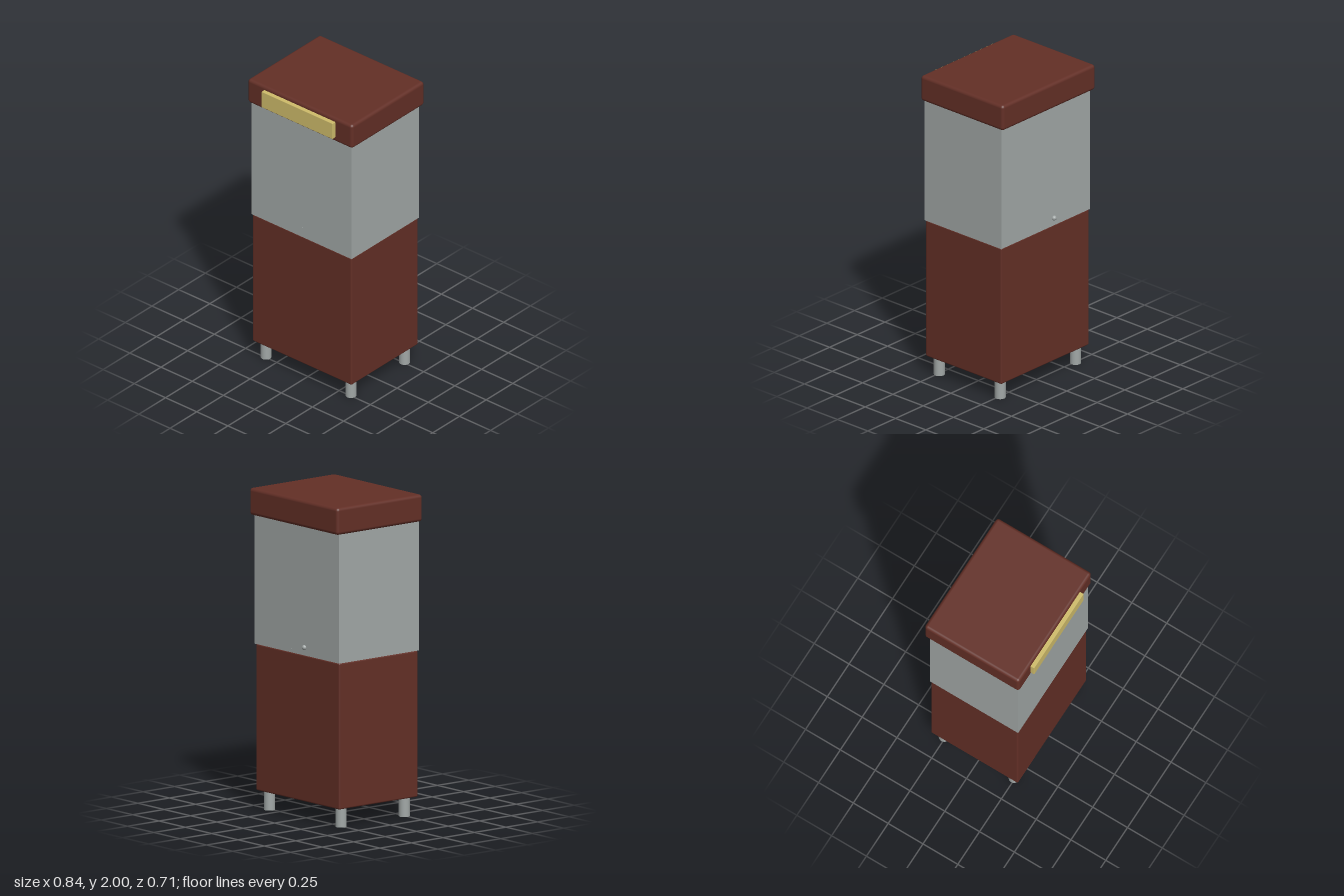
import * as THREE from 'three';
import { RoundedBoxGeometry } from 'three/addons/geometries/RoundedBoxGeometry.js';

const material = (name, color) => {
  const m = new THREE.MeshStandardMaterial({ color });
  m.name = name;
  return m;
};

export function createModel() {
  const wood = material('reddish brown wood', 0x632f26);
  const grey = material('grey', 0xa1a7a6);
  const brass = material('pale brass', 0xcfbc6a);
  const group = new THREE.Group();
  group.name = 'tankOnCabinet';

  const add = (name, geometry, mat, x, y, z) => {
    const mesh = new THREE.Mesh(geometry, mat);
    mesh.name = name;
    mesh.position.set(x, y, z);
    group.add(mesh);
    return mesh;
  };

  // cabinet, tank and lid, stacked
  add('cabinet', new RoundedBoxGeometry(0.794, 0.91, 0.625, 2, 0.01), wood, -0.002, 0.575, -0.008);
  add('tank', new THREE.BoxGeometry(0.802, 0.815, 0.634), grey, -0.001, 1.4375, -0.008);
  add('lid', new RoundedBoxGeometry(0.84, 0.168, 0.68, 3, 0.02), wood, -0.001, 1.916, -0.014);

  // plate on the front of the lid
  add('frontPlate', new RoundedBoxGeometry(0.57, 0.113, 0.05, 1, 0.004), brass, -0.001, 1.919, 0.327);

  // four round feet
  for (const x of [-0.342, 0.338]) {
    for (const z of [0.243, -0.259]) {
      add('foot', new THREE.CylinderGeometry(0.034, 0.034, 0.13, 24), grey, x, 0.065, z);
    }
  }

  // small valve knob and studs low on the tank
  add('valveKnob', new THREE.SphereGeometry(0.016, 16, 12), grey, -0.075, 1.08, -0.326);
  const stud = new THREE.CylinderGeometry(0.004, 0.004, 0.008, 10).rotateX(Math.PI / 2);
  add('frontStud', stud, grey, 0.008, 1.1, 0.309);
  add('backStud', stud, grey, 0.05, 1.05, -0.325);

  return group;
}
